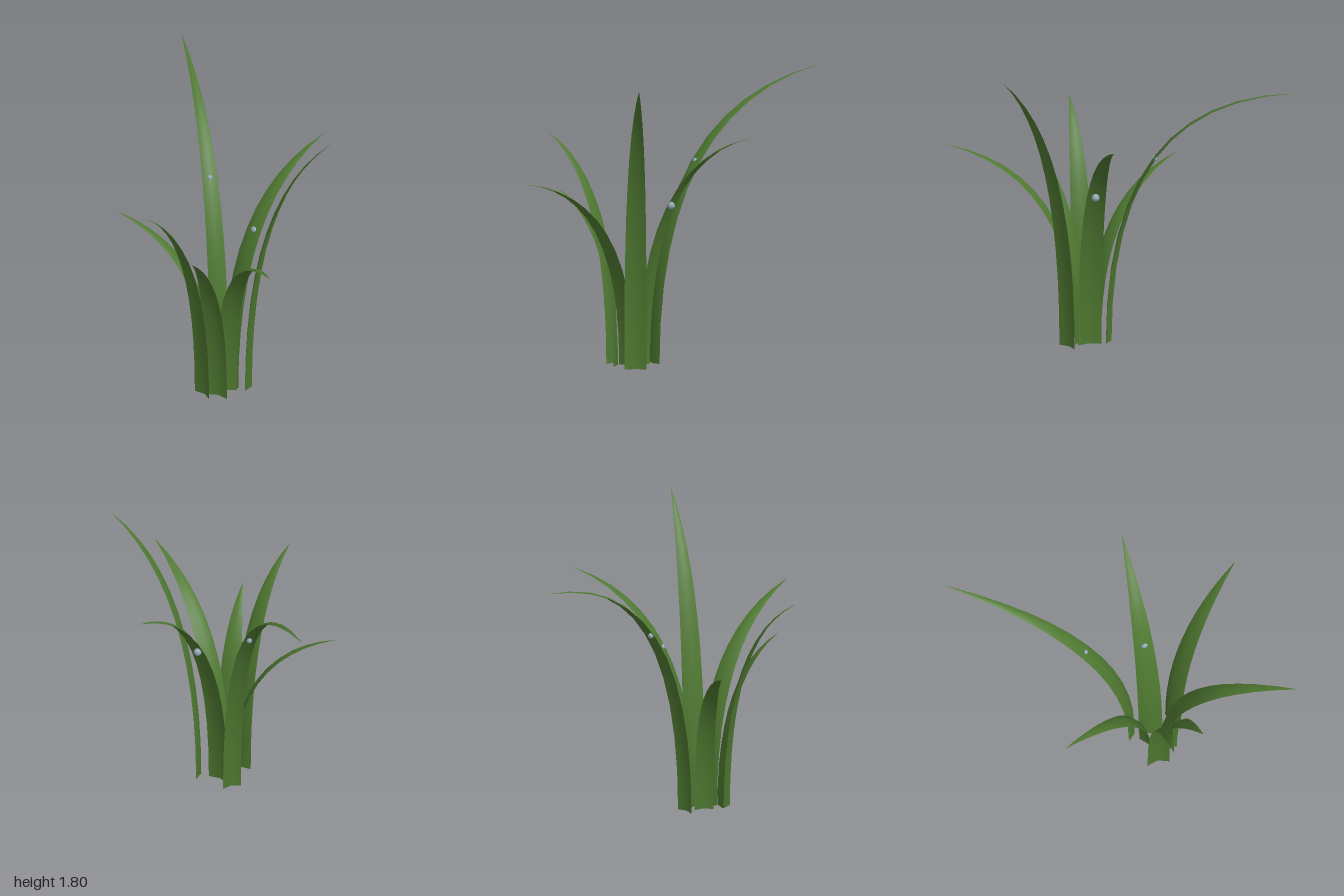
import * as THREE from 'three';

const ROWS = 12;
const UP = new THREE.Vector3(0, 1, 0);

// base [x, z], tip [x, y, z], root width, height of the bend control (fraction of the tip height)
const BLADES = [
  { base: [-0.05, 0.172], tip: [0.69, 1.455, 0.122], width: 0.146, bend: 0.86 },
  { base: [-0.041, 0.064], tip: [0.465, 1.71, -1.0], width: 0.114, bend: 0.912 },
  { base: [-0.13, 0.134], tip: [-0.45, 1.06, -0.415], width: 0.118, bend: 0.845 },
  { base: [-0.249, 0.182], tip: [-0.695, 1.365, 0.203], width: 0.135, bend: 0.805 },
  { base: [-0.193, 0.24], tip: [-0.505, 1.08, 0.412], width: 0.148, bend: 0.78 },
  { base: [-0.117, 0.225], tip: [-0.36, 1.205, 1.0], width: 0.14, bend: 0.89 },
  { base: [-0.015, 0.304], tip: [0.29, 1.795, 0.74], width: 0.134, bend: 0.735 },
];

// Dew: centre and radius
const DEW = [
  { at: [0.15, 0.996, 0.163], radius: 0.024 },
  { at: [0.087, 1.208, -0.207], radius: 0.017 },
];

// A tapering leaf, creased along its middle, swept along an arching curve
function bladeGeometry({ base, tip, width, bend }) {
  const end = new THREE.Vector3(...tip);
  const curve = new THREE.QuadraticBezierCurve3(
    new THREE.Vector3(base[0], 0, base[1]),
    new THREE.Vector3(base[0], end.y * bend, base[1]),
    end
  );
  const outward = new THREE.Vector3(tip[0] - base[0], 0, tip[2] - base[1]).normalize();
  const side = new THREE.Vector3().crossVectors(UP, outward);
  const positions = [], indices = [];

  for (let i = 0; i <= ROWS; i++) {
    const t = i / ROWS;
    const centre = curve.getPoint(t);
    const normal = new THREE.Vector3().crossVectors(side, curve.getTangent(t)).normalize();
    if (normal.dot(outward) < 0) normal.negate();
    const w = width * (1 - 0.98 * t ** 2.4);
    for (const s of [-1, 0, 1]) {
      const p = centre.clone()
        .addScaledVector(side, s * w / 2)
        .addScaledVector(normal, w * (s === 0 ? -0.08 : 0.08));
      positions.push(p.x, p.y, p.z);
    }
    if (i === ROWS) break;
    for (let j = 0; j < 2; j++) {
      const a = i * 3 + j;
      indices.push(a, a + 1, a + 3, a + 1, a + 4, a + 3);
    }
  }
  const geometry = new THREE.BufferGeometry();
  geometry.setAttribute('position', new THREE.Float32BufferAttribute(positions, 3));
  geometry.setIndex(indices);
  geometry.computeVertexNormals();
  return geometry;
}

export function createModel() {
  const model = new THREE.Group();
  model.name = 'grassTuft';
  const green = new THREE.MeshStandardMaterial({ color: 0x4e7830, side: THREE.DoubleSide });
  const water = new THREE.MeshStandardMaterial({ color: 0x8fa3b5 });

  // Arching blades
  BLADES.forEach((spec, i) => {
    const blade = new THREE.Mesh(bladeGeometry(spec), green);
    blade.name = `blade${i + 1}`;
    model.add(blade);
  });

  // Dew drops clinging to two of the blades
  DEW.forEach(({ at, radius }, i) => {
    const drop = new THREE.Mesh(new THREE.SphereGeometry(radius, 16, 12), water);
    drop.name = `dewDrop${i + 1}`;
    drop.position.set(...at);
    model.add(drop);
  });
  return model;
}
